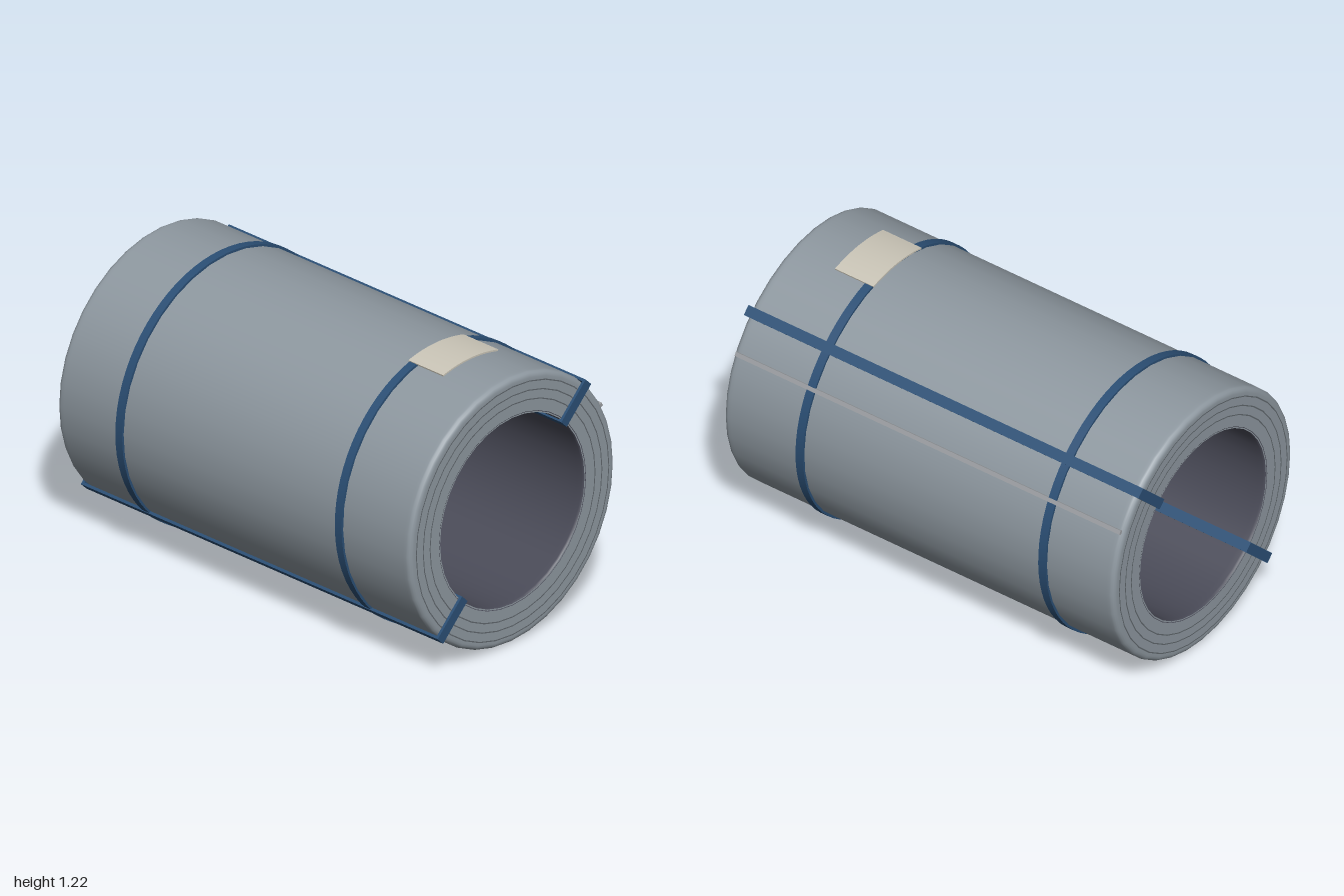
import * as THREE from 'three';
import { toCreasedNormals } from 'three/addons/utils/BufferGeometryUtils.js';

const SEG = 36;
const CENTER_Y = 0.608;
const INNER = 0.42, OUTER = 0.598, END = 0.988;

const material = (name, color, side = THREE.FrontSide) => {
  const m = new THREE.MeshStandardMaterial({ color, side });
  m.name = name;
  return m;
};

export function createModel() {
  const steel = material('steel', 0x8e98a0);
  const bore = material('dark bore', 0x4a4b58, THREE.DoubleSide);
  const groove = material('groove grey', 0x60676d);
  const strapBlue = material('strap blue', 0x2b4f75);
  const labelCream = material('label cream', 0xcbc6b8);
  const seamGrey = material('seam grey', 0x9c9fa3);

  const model = new THREE.Group();
  model.name = 'coil';
  const roll = new THREE.Group();
  roll.name = 'roll';
  roll.position.y = CENTER_Y;
  model.add(roll);

  const add = (name, geometry, mat, parent = roll) => {
    const mesh = new THREE.Mesh(geometry, mat);
    mesh.name = name;
    parent.add(mesh);
    return mesh;
  };
  // Revolve [radius, z] points about the z axis
  const revolve = (points) =>
    new THREE.LatheGeometry(points.map(([r, z]) => new THREE.Vector2(r, z)), SEG).rotateX(Math.PI / 2);

  // Wound body with rounded outer rims
  const half = [[INNER, END], [INNER + 0.008, END], [0.565, END], [0.575, END]];
  for (let i = 1; i <= 4; i++) {
    const a = (i / 4) * Math.PI / 2;
    half.push([0.575 + 0.023 * Math.sin(a), END - 0.023 + 0.023 * Math.cos(a)]);
  }
  half.push([OUTER, 0.95]);
  add('woundBody', revolve([...half.map(([r, z]) => [r, -z]), ...half.slice().reverse()]), steel);

  // Dark inner surface with a narrow lip
  const lip = [[INNER + 0.008, END + 0.001], [INNER, END - 0.002], [INNER - 0.002, END - 0.012], [INNER - 0.002, 0.95]];
  add('bore', revolve([...lip, ...lip.slice().reverse().map(([r, z]) => [r, -z])]), bore);

  // Layer lines on both end faces
  for (const side of [1, -1]) {
    for (const r of [0.48, 0.52, 0.56]) {
      const line = add('layerLine', new THREE.RingGeometry(r - 0.0025, r + 0.0025, SEG), groove);
      line.position.z = side * (END + 0.0015);
      if (side < 0) line.rotation.y = Math.PI;
    }
  }

  // Slightly tilted straps around the outside
  const ring = new THREE.Shape().absarc(0, 0, 0.607, 0, Math.PI * 2, false);
  ring.holes.push(new THREE.Path().absarc(0, 0, 0.592, 0, Math.PI * 2, true));
  for (const [z, tilt] of [[0.597, -0.02], [-0.633, 0.012]]) {
    const g = new THREE.ExtrudeGeometry(ring, { depth: 0.038, bevelEnabled: false, curveSegments: SEG });
    g.translate(0, 0, -0.019);
    const p = g.attributes.position;
    for (let i = 0; i < p.count; i++) p.setZ(i, p.getZ(i) + tilt * p.getY(i));
    add('hoopStrap', toCreasedNormals(g, 0.5), strapBlue).position.z = z;
  }

  // Straps looped through the bore
  for (const angle of [Math.PI / 4, Math.PI * 5 / 4]) {
    const loop = new THREE.Group();
    loop.name = 'boreStrap';
    loop.rotation.z = angle;
    roll.add(loop);
    const width = 0.045, t = 0.012, rIn = 0.408, rOut = 0.609;
    add('outerRun', new THREE.BoxGeometry(t, width, 2), strapBlue, loop).position.x = rOut - t / 2;
    add('innerRun', new THREE.BoxGeometry(t, width, 2), strapBlue, loop).position.x = rIn + t / 2;
    for (const side of [1, -1]) {
      const end = add('endRun', new THREE.BoxGeometry(rOut - rIn - 2 * t, width, t), strapBlue, loop);
      end.position.set((rOut + rIn) / 2, 0, side * (1 - t / 2));
    }
  }

  // Free edge of the outermost layer
  const seam = add('sheetEdge', new THREE.BoxGeometry(0.014, 0.018, 1.95), seamGrey);
  const seamAngle = 0.486;
  seam.position.set(0.6 * Math.cos(seamAngle), 0.6 * Math.sin(seamAngle), 0);
  seam.rotation.z = seamAngle;

  // Curved label lying over the front strap
  const a0 = Math.PI / 2 - 0.266, a1 = Math.PI / 2 + 0.266;
  const arc = new THREE.Shape();
  arc.absarc(0, 0, 0.611, a0, a1, false);
  arc.absarc(0, 0, 0.604, a1, a0, true);
  const label = new THREE.ExtrudeGeometry(arc, { depth: 0.195, bevelEnabled: false, curveSegments: 8 });
  add('label', toCreasedNormals(label, 0.5), labelCream).position.z = 0.56;

  return model;
}
